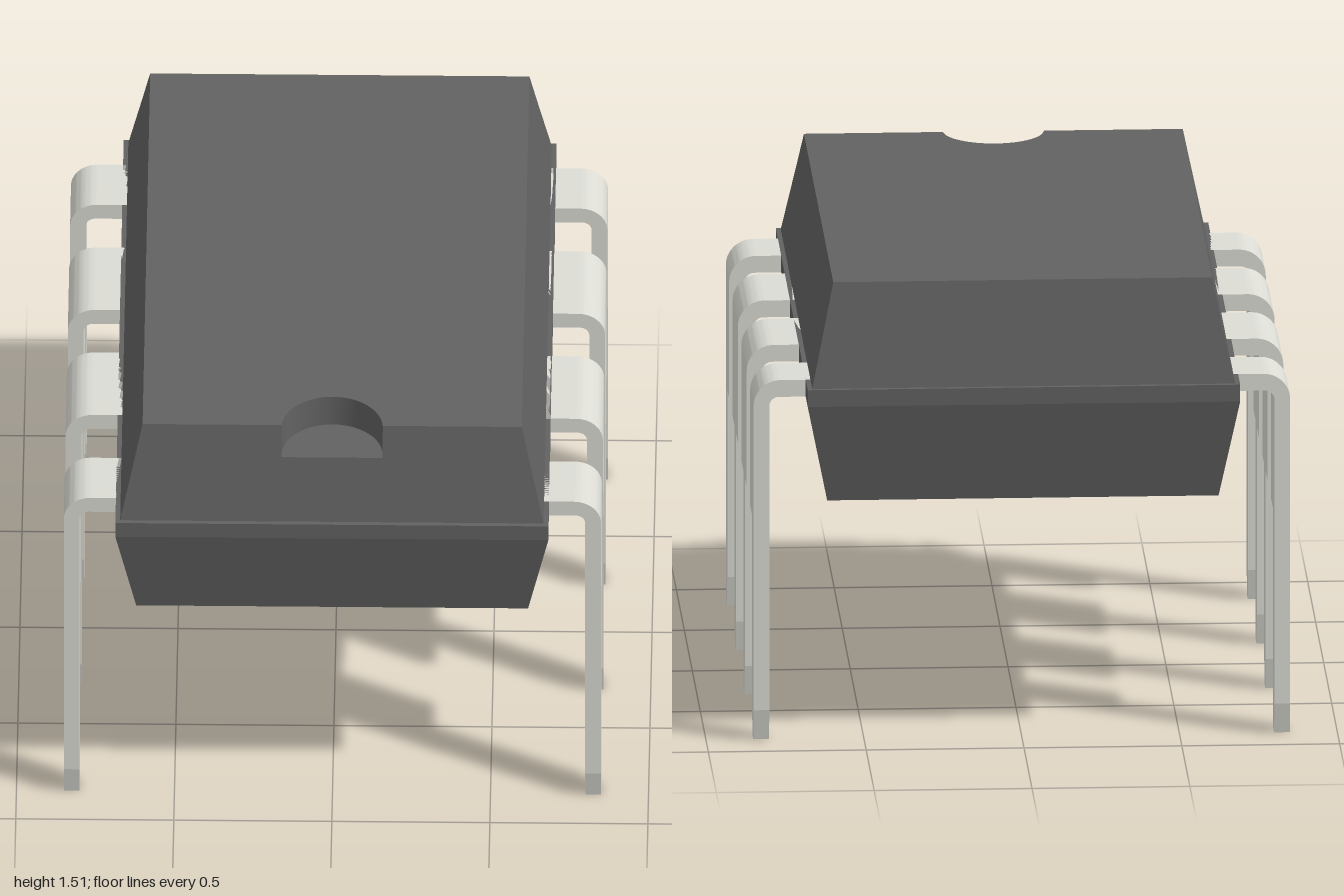
import * as THREE from 'three';
import { toCreasedNormals } from 'three/addons/utils/BufferGeometryUtils.js';

const NOTCH_SEGMENTS = 24;
const NOTCH_RADIUS = 0.16;

// Rectangular cross-section of the package; the front edge carries the notch points,
// which lie on the straight edge unless the section is notched.
function bodySection(halfX, y, halfZ, notched) {
  const ring = [[-halfX, y, -halfZ], [-halfX, y, halfZ]];
  for (let i = 0; i <= NOTCH_SEGMENTS; i++) {
    const a = (i / NOTCH_SEGMENTS) * Math.PI;
    const isEnd = i === 0 || i === NOTCH_SEGMENTS;
    const z = notched && !isEnd ? 0.925 - NOTCH_RADIUS * Math.sin(a) : halfZ;
    ring.push([-NOTCH_RADIUS * Math.cos(a), y, z]);
  }
  ring.push([halfX, y, halfZ], [halfX, y, -halfZ]);
  return ring;
}

function bodyGeometry() {
  const rings = [
    bodySection(0.62, 0.8, 0.93, false),
    bodySection(0.685, 1.125, 1.0, false),
    bodySection(0.685, 1.18, 1.0, false),
    bodySection(0.67, 1.18, 0.985, false),
    bodySection(0.623, 1.4, 0.938, false),
    bodySection(0.623, 1.4, 0.938, true), // strip to this ring is the notch floor
    bodySection(0.6, 1.51, 0.915, true),
  ];
  const n = rings[0].length;
  const index = [];
  for (let r = 0; r < rings.length - 1; r++) {
    for (let i = 0; i < n; i++) {
      const j = (i + 1) % n;
      const a = r * n + i, b = r * n + j;
      index.push(a, b, b + n, a, b + n, a + n);
    }
  }
  // Underside and notched top
  index.push(0, n - 1, n - 2, 0, n - 2, 1);
  const top = rings[rings.length - 1];
  const outline = top.map(([x, , z]) => new THREE.Vector2(x, -z));
  const offset = (rings.length - 1) * n;
  for (const face of THREE.ShapeUtils.triangulateShape(outline, [])) {
    index.push(...face.map((k) => k + offset));
  }
  const geometry = new THREE.BufferGeometry();
  geometry.setAttribute('position', new THREE.Float32BufferAttribute(rings.flat(2), 3));
  geometry.setIndex(index);
  return toCreasedNormals(geometry, 0.15);
}

// Wide bent upper part of a lead, spanning zMin..zMax
function shoulderGeometry(zMin, zMax) {
  const s = new THREE.Shape();
  s.moveTo(0.66, 1.125);
  s.lineTo(0.77, 1.125);
  s.absarc(0.77, 1.095, 0.03, Math.PI / 2, 0, true);
  s.lineTo(0.8, 0.715);
  s.lineTo(0.85, 0.715);
  s.lineTo(0.85, 1.095);
  s.absarc(0.765, 1.095, 0.085, 0, Math.PI / 2, false);
  s.lineTo(0.66, 1.18);
  s.closePath();
  const g = new THREE.ExtrudeGeometry(s, { depth: zMax - zMin, bevelEnabled: false, curveSegments: 10 });
  return toCreasedNormals(g.translate(0, 0, zMin), 0.3);
}

// Narrow pin with a tapered tip
function pinGeometry() {
  const outline = [[-0.027, 0], [0.027, 0], [0.048, 0.1], [0.048, 0.715], [-0.048, 0.715], [-0.048, 0.1]];
  const s = new THREE.Shape(outline.map(([x, y]) => new THREE.Vector2(x, y)));
  const g = new THREE.ExtrudeGeometry(s, { depth: 0.05, bevelEnabled: false });
  return g.rotateY(Math.PI / 2).translate(0.8, 0, 0);
}

export function createModel() {
  const model = new THREE.Group();
  model.name = 'dualInlineChip';
  const plastic = new THREE.MeshStandardMaterial({ color: 0x626262 });
  const metal = new THREE.MeshStandardMaterial({ color: 0xdcdcd5 });

  const add = (parent, name, geometry, material) => {
    const mesh = new THREE.Mesh(geometry, material);
    mesh.name = name;
    parent.add(mesh);
    return mesh;
  };

  add(model, 'body', bodyGeometry(), plastic);

  // Lead rows: end leads have a shoulder on their inner side only
  const pin = pinGeometry();
  const leads = [
    { z: -0.822, from: -0.048, to: 0.162 },
    { z: -0.274, from: -0.163, to: 0.163 },
    { z: 0.274, from: -0.163, to: 0.163 },
    { z: 0.822, from: -0.162, to: 0.048 },
  ];
  for (const side of ['left', 'right']) {
    const row = new THREE.Group();
    row.name = side + 'LeadRow';
    for (const { z, from, to } of leads) {
      const lead = new THREE.Group();
      lead.name = 'lead';
      lead.position.z = z;
      add(lead, 'leadShoulder', shoulderGeometry(from, to), metal);
      add(lead, 'leadPin', pin, metal);
      row.add(lead);
    }
    if (side === 'right') row.rotation.y = Math.PI;
    model.add(row);
  }
  return model;
}
